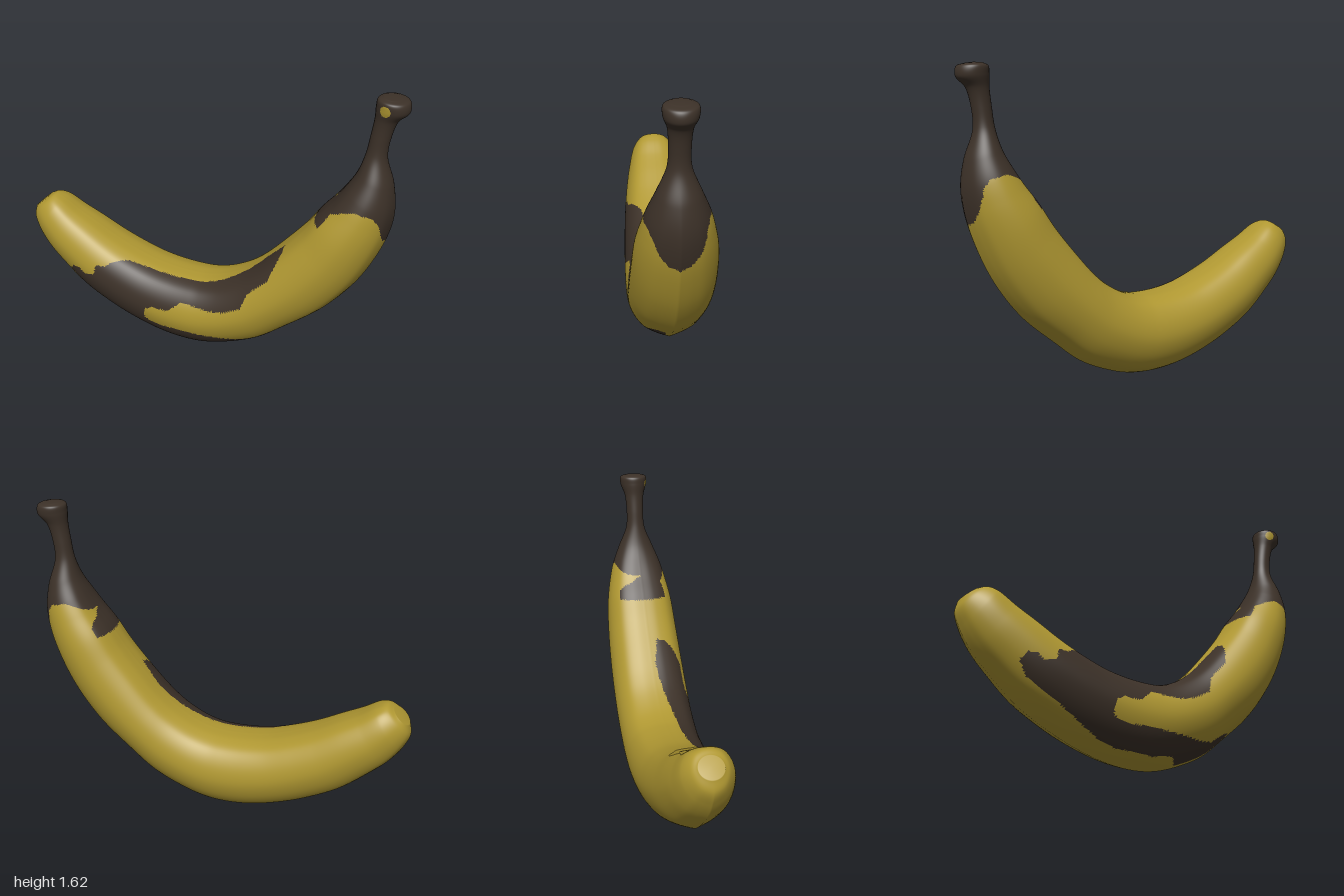
import * as THREE from 'three';

// Stations from blossom tip to stem: outer x, outer y, inner x, inner y, half width
const STATIONS = [
  [-0.99, 0.665, -0.905, 0.74, 0.06], [-1.0, 0.60, -0.87, 0.755, 0.09],
  [-0.97, 0.52, -0.82, 0.738, 0.125], [-0.91, 0.43, -0.73, 0.68, 0.15],
  [-0.81, 0.33, -0.63, 0.625, 0.17], [-0.68, 0.22, -0.5, 0.553, 0.187],
  [-0.53, 0.135, -0.38, 0.5, 0.197], [-0.38, 0.07, -0.26, 0.46, 0.203],
  [-0.2, 0.018, -0.14, 0.44, 0.208], [-0.05, 0.002, -0.03, 0.435, 0.21],
  [0.07, 0.012, 0.04, 0.44, 0.21], [0.2, 0.05, 0.13, 0.465, 0.21],
  [0.37, 0.13, 0.24, 0.525, 0.21], [0.52, 0.25, 0.33, 0.6, 0.21],
  [0.7, 0.41, 0.45, 0.735, 0.207], [0.84, 0.6, 0.55, 0.86, 0.2],
];
const NECK = [
  [0.93, 0.79, 0.63, 0.98, 0.188], [0.975, 0.94, 0.7, 1.07, 0.165],
  [0.985, 1.05, 0.75, 1.15, 0.14], [0.965, 1.18, 0.79, 1.23, 0.1],
  [0.92, 1.32, 0.818, 1.33, 0.053], [0.925, 1.42, 0.83, 1.42, 0.048],
  [0.95, 1.51, 0.84, 1.51, 0.055], [0.995, 1.56, 0.84, 1.575, 0.074],
  [0.99, 1.605, 0.845, 1.61, 0.074], [0.95, 1.62, 0.87, 1.623, 0.045],
];

// Half cross-section: (sideways share, share of the way from outer to inner edge)
const HALF_SECTION = [
  [0, 0], [0.33, 0.06], [0.63, 0.15], [0.88, 0.32], [1, 0.53],
  [0.93, 0.74], [0.7, 0.91], [0.35, 0.985], [0, 1],
];

// Outlines of the brown areas, in front elevation
const BRUISE = [
  [-0.73, 0.38], [-0.69, 0.31], [-0.62, 0.27], [-0.5, 0.2], [-0.4, 0.14], [-0.3, 0.09],
  [-0.2, 0.06], [0, 0.05], [0.12, 0.07], [0.2, 0.045], [0.3, 0.09], [0.4, 0.15],
  [0.51, 0.24], [0.5, 0.265], [0.42, 0.225], [0.35, 0.175], [0.25, 0.16], [-0.2, 0.165],
  [-0.26, 0.19], [-0.26, 0.26], [-0.22, 0.285], [-0.12, 0.285], [-0.05, 0.345],
  [0.12, 0.34], [0.2, 0.36], [0.29, 0.41], [0.32, 0.5], [0.42, 0.6], [0.47, 0.74],
  [0.47, 0.9], [-0.47, 0.9], [-0.47, 0.51], [-0.5, 0.455], [-0.55, 0.46], [-0.57, 0.4],
  [-0.62, 0.385], [-0.66, 0.415], [-0.7, 0.42],
];
const STEM_BROWN = [
  [0.5, 0.95], [0.65, 0.95], [0.7, 1.03], [0.76, 1.06], [0.82, 1.08], [0.9, 1.06],
  [0.935, 1.01], [0.95, 0.9], [0.965, 0.87], [1.1, 0.87], [1.1, 1.8], [0.5, 1.8],
];
// How far the bruise wraps over the inner curve: (x, least z)
const WRAP = [[-0.5, 0.17], [-0.38, 0.1], [-0.25, 0.08], [0, 0.075], [0.13, 0.065], [0.25, 0.04], [0.37, 0.02], [0.48, 0.05]];

function inside(poly, x, y) {
  let hit = false;
  poly.forEach(([ax, ay], i) => {
    const [bx, by] = poly[(i + 1) % poly.length];
    if ((ay > y) !== (by > y) && x < ax + ((y - ay) / (by - ay)) * (bx - ax)) hit = !hit;
  });
  return hit;
}

function wrapLimit(x) {
  for (let i = 1; i < WRAP.length; i++) {
    const [ax, az] = WRAP[i - 1], [bx, bz] = WRAP[i];
    if (x <= bx) return az + (bz - az) * THREE.MathUtils.clamp((x - ax) / (bx - ax), 0, 1);
  }
  return 0.06;
}

function isBrown(x, y, z, share) {
  if (z > 0 && Math.hypot((x - 0.893) / 0.025, (y - 1.572) / 0.027) < 1) return false;
  const lift = z < 0 && x < 0.93 && x > 0.68 ? 0.04 : 0;
  if (inside(STEM_BROWN, x, y - lift)) return true;
  return z > (share > 0.6 ? wrapLimit(x) : 0.025) && inside(BRUISE, x, y);
}

export function createModel() {
  const rows = [...STATIONS, ...NECK];
  const outer = new THREE.CatmullRomCurve3(rows.map((r) => new THREE.Vector3(r[0], r[1], r[4])));
  const inner = new THREE.CatmullRomCurve3(rows.map((r) => new THREE.Vector3(r[2], r[3], 0)));
  const section = new THREE.SplineCurve(HALF_SECTION.map((p) => new THREE.Vector2(...p)));
  const LENGTH = 320, HALF = 56, RING = HALF * 2;
  const positions = [], shares = [];

  // Loft the body; the stem blends to a round section
  for (let i = 0; i <= LENGTH; i++) {
    const u = i / LENGTH;
    const o = outer.getPoint(u), n = inner.getPoint(u);
    const station = u * (rows.length - 1);
    const round = Math.max(THREE.MathUtils.smoothstep(station, 17, 20), 1 - THREE.MathUtils.smoothstep(station, 0, 2));
    for (let j = 0; j < RING; j++) {
      const s = (j <= HALF ? j : RING - j) / HALF;
      const p = section.getPoint(s);
      const side = THREE.MathUtils.lerp(p.x, Math.sin(Math.PI * s), round) * (j <= HALF ? 1 : -1);
      const share = THREE.MathUtils.lerp(p.y, (1 - Math.cos(Math.PI * s)) / 2, round);
      positions.push(o.x + (n.x - o.x) * share, o.y + (n.y - o.y) * share, side * o.z);
      shares.push(share);
    }
  }
  const startCap = positions.length / 3, endCap = startCap + 1;
  for (const u of [0, 1]) {
    const c = outer.getPoint(u).add(inner.getPoint(u)).multiplyScalar(0.5);
    positions.push(c.x, c.y + 0.004, 0);
    shares.push(0.5);
  }

  // Sort the faces into yellow and brown
  const yellow = [], brown = [];
  const face = (...ids) => {
    const mean = (k) => ids.reduce((sum, id) => sum + positions[id * 3 + k], 0) / 3;
    const share = ids.reduce((sum, id) => sum + shares[id], 0) / 3;
    (isBrown(mean(0), mean(1), mean(2), share) ? brown : yellow).push(...ids);
  };
  for (let j = 0; j < RING; j++) {
    const k = (j + 1) % RING, last = LENGTH * RING;
    for (let i = 0; i < LENGTH; i++) {
      const a = i * RING, b = a + RING;
      face(a + j, b + j, b + k);
      face(a + j, b + k, a + k);
    }
    face(startCap, j, k);
    face(endCap, last + k, last + j);
  }

  // Smooth normals shared by both colours
  const whole = new THREE.BufferGeometry();
  whole.setAttribute('position', new THREE.Float32BufferAttribute(positions, 3));
  whole.setIndex([...yellow, ...brown]);
  whole.computeVertexNormals();

  const group = new THREE.Group();
  group.name = 'banana';
  const addSkin = (name, index, materialName, color) => {
    const geometry = new THREE.BufferGeometry();
    geometry.setAttribute('position', whole.getAttribute('position'));
    geometry.setAttribute('normal', whole.getAttribute('normal'));
    geometry.setIndex(index);
    const material = new THREE.MeshStandardMaterial({ color });
    material.name = materialName;
    const mesh = new THREE.Mesh(geometry, material);
    mesh.name = name;
    group.add(mesh);
  };
  addSkin('peel', yellow, 'ripeYellow', 0xb09832);
  addSkin('stemAndBruises', brown, 'darkBrown', 0x3c3128);
  return group;
}
